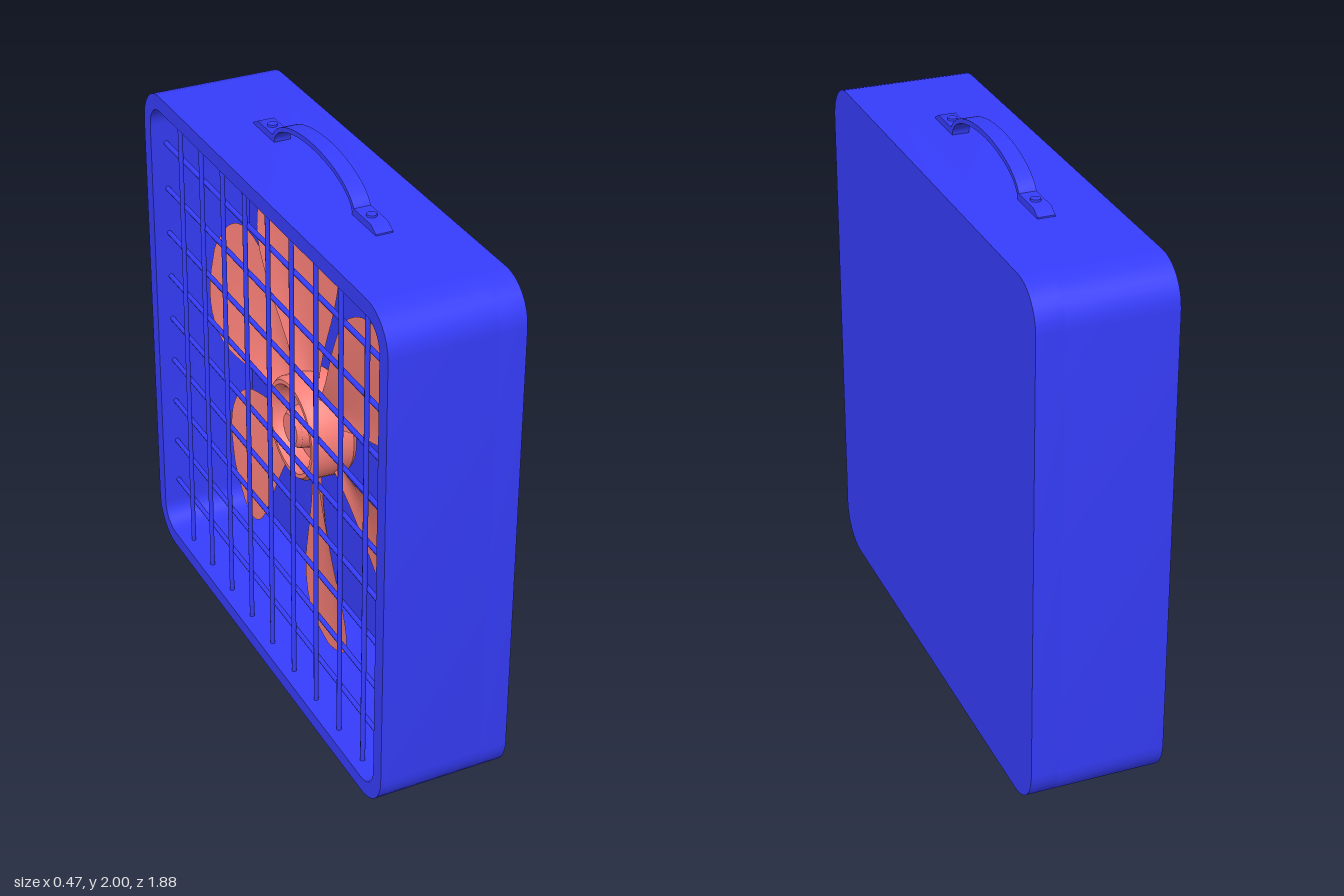
import * as THREE from 'three';
import { toCreasedNormals } from 'three/addons/utils/BufferGeometryUtils.js';

const BLUE = new THREE.MeshStandardMaterial({ color: 0x363dfc });
const CORAL = new THREE.MeshStandardMaterial({ color: 0xfa7f78 });
const CORAL_THIN = new THREE.MeshStandardMaterial({ color: 0xfa7f78, side: THREE.DoubleSide });

const CY = 0.9425; // height of the fan axis
const HALF = 0.94; // half the case side
const DEPTH = 0.235; // half the case depth
const BACK = 0.14; // where the cavity ends
const INNER = 0.885; // half the cavity side

function add(parent, name, geometry, material, x = 0, y = 0, z = 0) {
  const mesh = new THREE.Mesh(geometry, material);
  mesh.name = name;
  mesh.position.set(x, y, z);
  parent.add(mesh);
  return mesh;
}

function roundedSquare(Type, h, r) {
  const p = new Type();
  [[1, 1], [-1, 1], [-1, -1], [1, -1]].forEach(([sx, sy], i) => {
    p.absarc(sx * (h - r), sy * (h - r), r, i * Math.PI / 2, (i + 1) * Math.PI / 2, false);
  });
  p.closePath();
  return p;
}

// Extrudes a (z, y) outline along +x
function extrudeX(shape, depth, curveSegments) {
  const g = new THREE.ExtrudeGeometry(shape, { depth, bevelEnabled: false, curveSegments });
  return toCreasedNormals(g.rotateY(Math.PI / 2), 0.7);
}

// Twisted petal pointing along +y, its width along z and its pitch along x
function bladeGeometry() {
  const rows = 18, cols = 6, r0 = 0.15, r1 = 0.86;
  const outline = new THREE.SplineCurve([
    [0, 0.05], [0.2, 0.1], [0.45, 0.185], [0.66, 0.24], [0.84, 0.225], [0.95, 0.145], [1, 0.01],
  ].map(([t, w]) => new THREE.Vector2(t, w)));
  const pos = [], index = [];
  for (let i = 0; i <= rows; i++) {
    const p = outline.getPoint(i / rows);
    const pitch = 0.3 - 0.2 * p.x;
    for (let j = 0; j <= cols; j++) {
      const s = (j / cols) * 2 - 1;
      const camber = 0.025 * (1 - s * s) * (1 - p.x);
      pos.push(s * p.y * Math.sin(pitch) + camber, r0 + (r1 - r0) * p.x, s * p.y * Math.cos(pitch));
      if (i < rows && j < cols) {
        const a = i * (cols + 1) + j, b = a + cols + 1;
        index.push(a, b, a + 1, b, b + 1, a + 1);
      }
    }
  }
  const g = new THREE.BufferGeometry();
  g.setAttribute('position', new THREE.Float32BufferAttribute(pos, 3));
  g.setIndex(index);
  g.computeVertexNormals();
  return g;
}

export function createModel() {
  const model = new THREE.Group();
  model.name = 'boxFan';

  // Case: hollow frame, open towards -x, with a solid panel behind
  const ring = roundedSquare(THREE.Shape, HALF, 0.14);
  ring.holes.push(roundedSquare(THREE.Path, INNER, 0.09));
  add(model, 'caseFrame', extrudeX(ring, DEPTH + BACK, 4), BLUE, -DEPTH, HALF, 0);
  add(model, 'backPanel', extrudeX(roundedSquare(THREE.Shape, HALF, 0.14), DEPTH - BACK, 4), BLUE, BACK, HALF, 0);

  // Grille of crossed bars
  const grille = new THREE.Group();
  grille.name = 'grille';
  const upright = new THREE.CylinderGeometry(0.009, 0.009, INNER * 2 + 0.02, 8);
  const cross = upright.clone().rotateX(Math.PI / 2);
  for (let i = -4; i <= 4; i++) {
    add(grille, 'verticalBar', upright, BLUE, -0.19, CY, i * 0.18);
    add(grille, 'horizontalBar', cross, BLUE, -0.178, CY + i * 0.178, 0);
  }
  model.add(grille);

  // Rotor: recessed hub with a centre boss, shaft and six blades
  const rotor = new THREE.Group();
  rotor.name = 'rotor';
  rotor.position.y = CY;
  const profile = [
    [0, -0.05], [0.18, -0.05], [0.19, -0.035], [0.185, 0.1], [0.175, 0.115], [0.16, 0.115],
    [0.145, 0.1], [0.13, 0.045], [0.08, 0.045], [0.07, 0.1], [0.055, 0.115], [0, 0.115],
  ].map(([r, h]) => new THREE.Vector2(r, h));
  const hub = new THREE.LatheGeometry(profile, 32).rotateZ(Math.PI / 2);
  add(rotor, 'hub', toCreasedNormals(hub, 0.6), CORAL);
  add(rotor, 'shaft', new THREE.CylinderGeometry(0.05, 0.05, 0.12, 20).rotateZ(Math.PI / 2), CORAL, 0.09);
  const blade = bladeGeometry();
  for (let i = 0; i < 6; i++) {
    add(rotor, 'blade', blade, CORAL_THIN, -0.035).rotation.x = (i * Math.PI) / 3 + 0.88;
  }
  model.add(rotor);

  // Carrying handle: arched strap with screwed feet
  const handle = new THREE.Group();
  handle.name = 'handle';
  handle.position.y = HALF * 2;
  const strap = new THREE.Shape();
  strap.absellipse(0, 0, 0.308, 0.12, 0, Math.PI, false);
  strap.absellipse(0, 0, 0.29, 0.102, Math.PI, 0, true);
  strap.closePath();
  add(handle, 'strap', extrudeX(strap, 0.06, 20), BLUE, -0.03);
  const footShape = new THREE.Shape([[0.3, -0.005], [0.455, -0.005], [0.455, 0.005], [0.42, 0.024], [0.3, 0.024]]
    .map(([z, y]) => new THREE.Vector2(z, y)));
  const foot = extrudeX(footShape, 0.06, 1);
  const screw = new THREE.CylinderGeometry(0.017, 0.018, 0.01, 16);
  for (const side of [0, Math.PI]) {
    const end = new THREE.Group();
    end.name = 'handleEnd';
    end.rotation.y = side;
    add(end, 'foot', foot, BLUE, -0.03);
    add(end, 'screw', screw, BLUE, 0, 0.026, -0.367);
    handle.add(end);
  }
  model.add(handle);

  return model;
}
